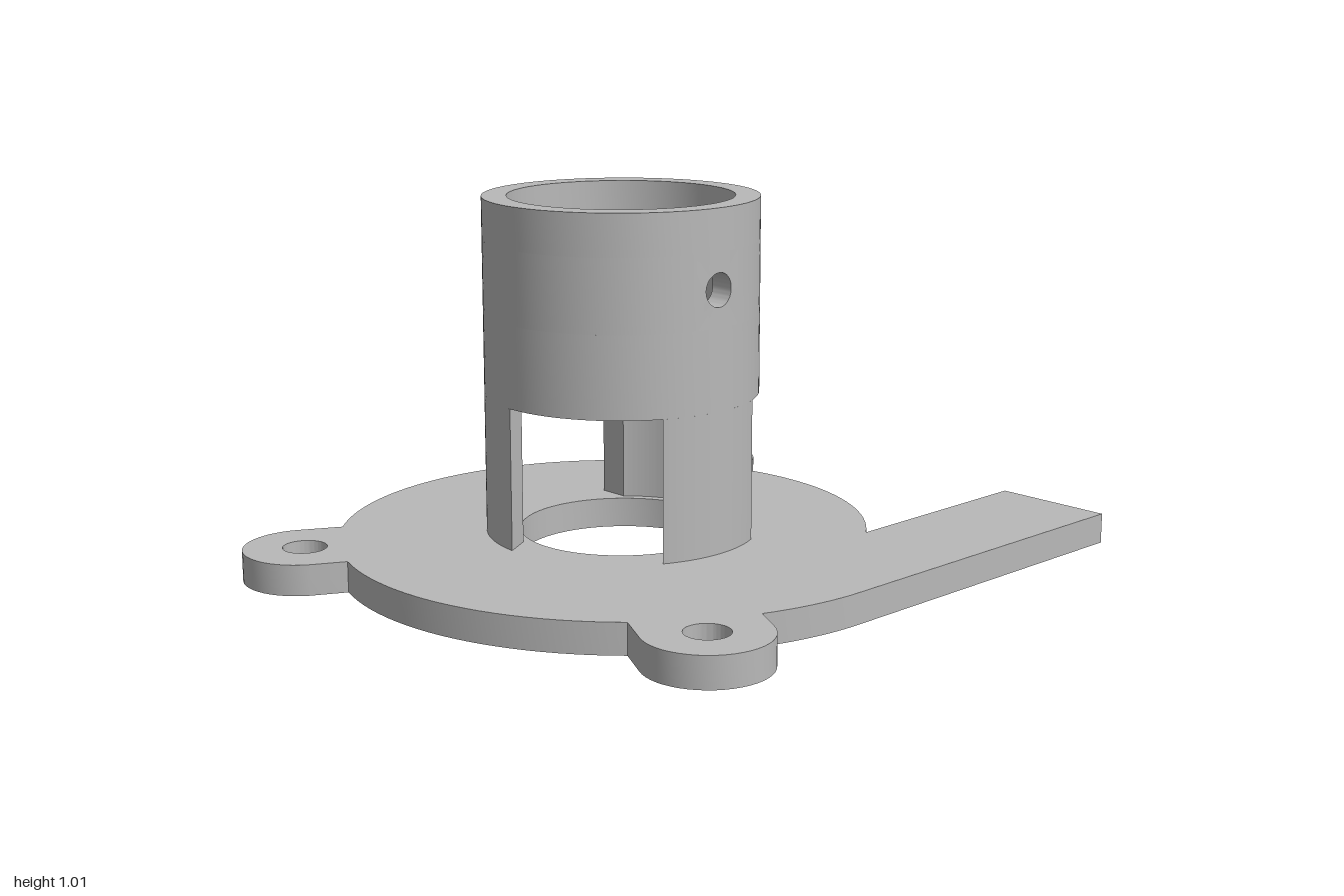
import * as THREE from 'three';
import { toCreasedNormals } from 'three/addons/utils/BufferGeometryUtils.js';

const CX = -0.11, CZ = 0.07;          // shared axis of plate and tube
const PLATE = 0.085, SLOT_TOP = 0.475, TOP = 1.015;
const R = 0.378, RI = 0.31;           // tube radii
const deg = Math.PI / 180;

// Extrude an (x, z) shape between two heights
function slab(shape, y0, y1) {
  const g = new THREE.ExtrudeGeometry(shape, { depth: y1 - y0, bevelEnabled: false, curveSegments: 48 });
  g.rotateX(Math.PI / 2);
  g.translate(0, y1, 0);
  return toCreasedNormals(g, 0.5);
}

function circle(x, z, r) {
  return new THREE.Path().absarc(x, z, r, 0, Math.PI * 2, false);
}

function ring(outer, inner) {
  const s = new THREE.Shape().absarc(0, 0, outer, 0, Math.PI * 2, false);
  s.holes.push(circle(0, 0, inner));
  return s;
}

// Ring sector whose outer and inner arcs may span different angles
function sector(a0, a1, b0, b1) {
  const s = new THREE.Shape();
  s.absarc(0, 0, R, a0, a1, false);
  s.absarc(0, 0, RI, b1, b0, true);
  s.closePath();
  return s;
}

// Spiral plate with three rounded lugs and a straight outlet arm
function plateShape() {
  const pts = [];
  const spiral = (from, to) => {
    const n = Math.ceil((to - from) / 3);
    for (let i = 0; i <= n; i++) {
      const a = from + (to - from) * i / n, r = 0.855 - 0.05 * a / 90;
      pts.push(new THREE.Vector2(CX + r * Math.cos(a * deg), CZ + r * Math.sin(a * deg)));
    }
  };
  const lugs = [
    { x: 0.693, z: 0.53, out: 30, from: 18.6, to: 41.6 },
    { x: -0.55, z: 0.83, out: 120, from: 108.3, to: 132.7 },
    { x: -0.515, z: -0.632, out: 240, from: 226.4, to: 253.7 },
  ];
  let start = 0;
  for (const l of lugs) {
    spiral(start, l.from);
    for (let i = 0; i <= 24; i++) {
      const a = (l.out - 90 + 180 * i / 24) * deg;
      pts.push(new THREE.Vector2(l.x + 0.167 * Math.cos(a), l.z + 0.167 * Math.sin(a)));
    }
    start = l.to;
  }
  spiral(start, 319.3);
  pts.push(new THREE.Vector2(0.4, -1), new THREE.Vector2(0.745, -1));
  const s = new THREE.Shape(pts);
  s.holes.push(circle(CX, CZ, 0.285));
  for (const l of lugs) s.holes.push(circle(l.x, l.z, 0.06));
  return s;
}

// Curved wall panel pierced by a round hole along x
function piercedPanel(a0, yMid, halfH, r) {
  const N = 48, pos = [], idx = [];
  for (let s = 0; s < 4; s++) {
    const rad = s < 2 ? R : RI, onEdge = s === 0 || s === 3;
    for (let i = 0; i <= N; i++) {
      const t = i / N * Math.PI * 2, c = Math.cos(t), d = Math.sin(t);
      const m = Math.max(Math.abs(c), Math.abs(d));
      const z = onEdge ? rad * Math.sin(a0 * c / m) : r * c;
      const y = yMid + (onEdge ? halfH * d / m : r * d);
      pos.push(Math.sqrt(rad * rad - z * z), y, z);
    }
  }
  for (let s = 0; s < 3; s++) for (let i = 0; i < N; i++) {
    const a = s * (N + 1) + i, b = a + N + 1;
    idx.push(a, b, a + 1, b, b + 1, a + 1);
  }
  const g = new THREE.BufferGeometry();
  g.setAttribute('position', new THREE.Float32BufferAttribute(pos, 3));
  g.setIndex(idx);
  return toCreasedNormals(g, 0.5);
}

export function createModel() {
  const grey = new THREE.MeshStandardMaterial({ color: 0xb8b8b8 });
  grey.name = 'grey';
  const model = new THREE.Group();
  model.name = 'motorMount';
  const add = (parent, name, geo) => {
    const m = new THREE.Mesh(geo, grey);
    m.name = name;
    parent.add(m);
  };

  add(model, 'basePlate', slab(plateShape(), 0, PLATE));

  const tube = new THREE.Group();
  tube.name = 'tube';
  tube.position.set(CX, 0, CZ);
  model.add(tube);

  // Tube wall in three bands, the middle one left open for the pierced panel
  const gap = 0.2, low = 0.7, high = 0.9;
  add(tube, 'lowerWall', slab(ring(R, RI), SLOT_TOP, low));
  add(tube, 'middleWall', slab(sector(gap, 2 * Math.PI - gap, gap, 2 * Math.PI - gap), low, high));
  add(tube, 'screwHolePanel', piercedPanel(gap, 0.8, 0.1, 0.046));
  add(tube, 'upperWall', slab(ring(R, RI), high, TOP));

  // Inner floor with a shaft hole
  add(tube, 'innerFloor', slab(ring(RI + 0.01, 0.155), SLOT_TOP, SLOT_TOP + 0.085));

  // Three legs left between straight-sided slots
  for (let i = 0; i < 3; i++) {
    const c = i * 120;
    add(tube, 'leg', slab(sector((c - 26) * deg, (c + 26) * deg, (c - 17.1) * deg, (c + 17.1) * deg), PLATE, SLOT_TOP));
  }
  return model;
}
